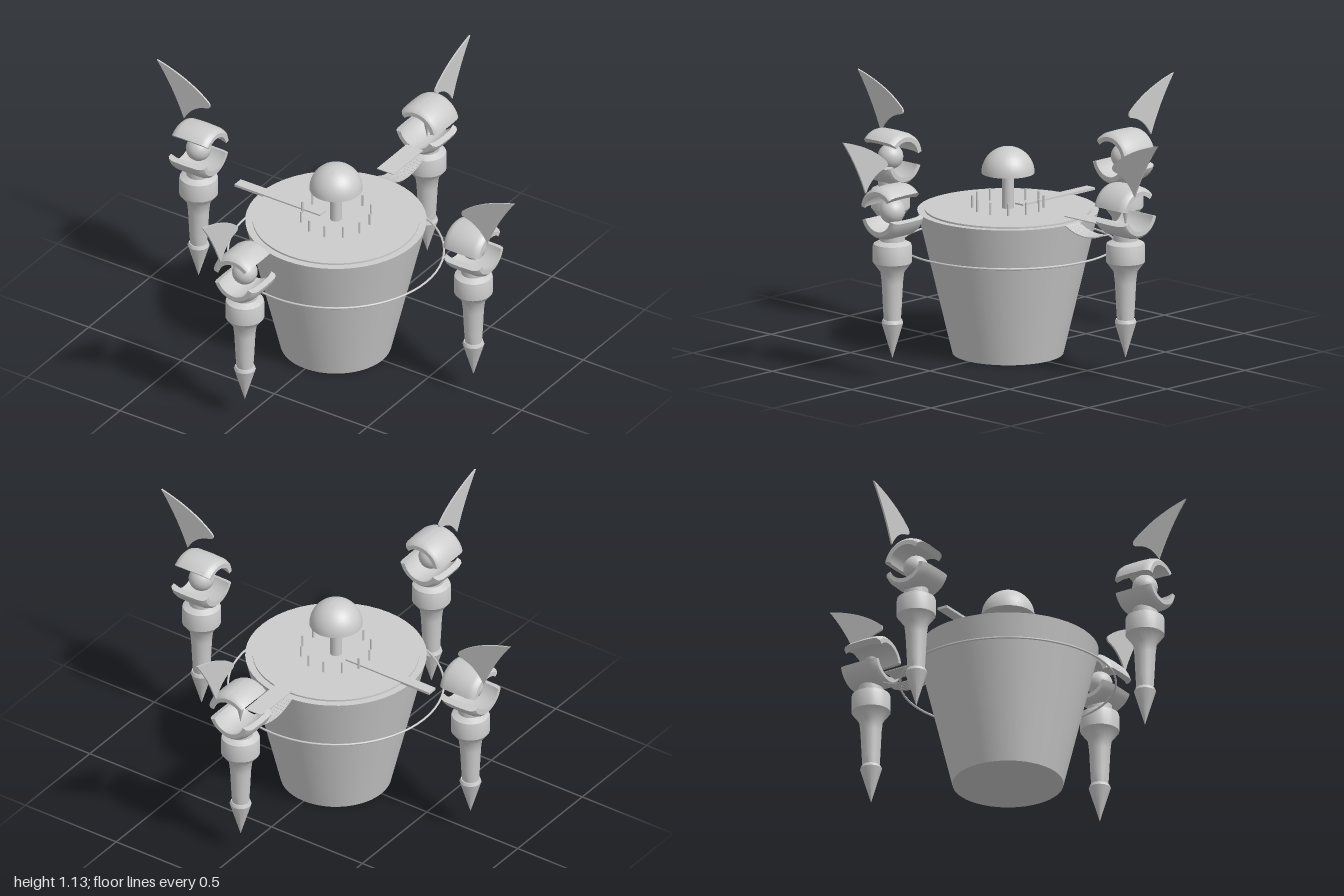
import * as THREE from 'three';
import { mergeGeometries, toCreasedNormals } from 'three/addons/utils/BufferGeometryUtils.js';

const grey = new THREE.MeshStandardMaterial({ color: 0xcccccc });
const greyDouble = new THREE.MeshStandardMaterial({ color: 0xcccccc, side: THREE.DoubleSide });
const vecs = (pts) => pts.map(([x, y]) => new THREE.Vector2(x, y));

function add(parent, name, geometry, x = 0, y = 0, z = 0, material = grey) {
  const mesh = new THREE.Mesh(geometry, material);
  mesh.name = name;
  mesh.position.set(x, y, z);
  parent.add(mesh);
  return mesh;
}

const turned = (pts, sides) => toCreasedNormals(new THREE.LatheGeometry(vecs(pts), sides), 0.6);

// Curved barrel band covering the angles from..to (degrees) about the z axis, with closed ends
function shellBand(from, to) {
  const a = THREE.MathUtils.degToRad(from), b = THREE.MathUtils.degToRad(to);
  const profile = vecs([
    [0.102, -0.096], [0.114, -0.085], [0.12, -0.065], [0.122, 0], [0.12, 0.065], [0.114, 0.085], [0.102, 0.096],
    [0.082, 0.096], [0.092, 0.06], [0.095, 0], [0.092, -0.06], [0.082, -0.096],
  ]);
  const band = toCreasedNormals(
    new THREE.LatheGeometry([...profile, profile[0]], 20, a + Math.PI / 2, b - a), 0.6);
  const caps = [a, b].map((angle) =>
    new THREE.ShapeGeometry(new THREE.Shape(profile)).toNonIndexed().rotateY(angle));
  return mergeGeometries([band, ...caps]).rotateX(Math.PI / 2);
}

// Thin horn-shaped fin, reaching outwards along z
function finGeometry() {
  const s = new THREE.Shape();
  s.moveTo(1.0, 1.13);
  s.quadraticCurveTo(0.82, 1.085, 0.72, 0.995);
  s.quadraticCurveTo(0.705, 0.97, 0.735, 0.965);
  s.quadraticCurveTo(0.81, 0.95, 0.855, 0.87);
  s.quadraticCurveTo(0.91, 1.01, 1.0, 1.13);
  return new THREE.ExtrudeGeometry(s, { depth: 0.008, bevelEnabled: false, curveSegments: 10 })
    .rotateY(-Math.PI / 2);
}

// Floating tower in front position: spike, collar, split shell, core and fin
function createTower(hasOrb) {
  const tower = new THREE.Group();
  const z = 0.74;
  add(tower, 'spike', turned([[0, 0.1], [0.05, 0.265], [0.044, 0.28], [0, 0.28]], 12), 0, 0, z);
  add(tower, 'towerColumn', turned([
    [0, 0.27], [0.038, 0.27], [0.042, 0.33], [0.048, 0.45], [0.054, 0.5], [0.084, 0.54],
    [0.088, 0.545], [0.088, 0.62], [0.085, 0.63], [0.056, 0.645], [0.056, 0.675], [0, 0.675],
  ], 24), 0, 0, z);
  add(tower, 'upperShell', shellBand(45, 168), 0, 0.78, z, greyDouble);
  add(tower, 'lowerShell', shellBand(203, 345), 0, 0.78, z, greyDouble);
  if (hasOrb) {
    add(tower, 'orb', new THREE.SphereGeometry(0.058, 24, 16), 0, 0.78, z);
  } else {
    add(tower, 'hangingSpike', new THREE.ConeGeometry(0.022, 0.11, 12).rotateX(Math.PI), 0, 0.76, z);
  }
  add(tower, 'fin', finGeometry(), -0.053, 0, 0, greyDouble);
  return tower;
}

export function createModel() {
  const model = new THREE.Group();

  // Tapered central body, lid and surrounding ring
  add(model, 'body', turned([[0, 0], [0.25, 0], [0.408, 0.66], [0, 0.66]], 48));
  add(model, 'lid', new THREE.CylinderGeometry(0.375, 0.375, 0.008, 48), 0, 0.664, 0);
  add(model, 'ring', new THREE.TorusGeometry(0.485, 0.005, 8, 64).rotateX(Math.PI / 2), 0, 0.5, 0);

  // Domed centre piece with a circle of pins
  add(model, 'stem', new THREE.CylinderGeometry(0.027, 0.027, 0.18, 16), 0, 0.75, 0);
  add(model, 'dome', turned([[0, 0.83],
    ...Array.from({ length: 13 }, (_, i) => {
      const t = (i / 12) * Math.PI / 2;
      return [0.12 * Math.cos(t), 0.83 + 0.12 * Math.sin(t)];
    })], 32));
  for (let i = 0; i < 12; i++) {
    const a = (i + 0.5) * Math.PI / 6;
    add(model, 'pin', new THREE.CylinderGeometry(0.005, 0.005, 0.06, 8),
      0.16 * Math.cos(a), 0.695, 0.16 * Math.sin(a));
  }

  // Plank jutting out over the right rim
  add(model, 'plank', new THREE.BoxGeometry(0.46, 0.012, 0.05), -0.3, 0.669, 0);

  // Rear bridge: flat deck above a sagging row of slats
  add(model, 'bridgeDeck', new THREE.BoxGeometry(0.09, 0.004, 0.24), 0, 0.703, -0.52);
  const sag = new THREE.QuadraticBezierCurve3(
    new THREE.Vector3(0, 0.66, -0.405), new THREE.Vector3(0, 0.598, -0.52), new THREE.Vector3(0, 0.655, -0.645));
  const slats = 14;
  for (let i = 0; i < slats; i++) {
    const t = (i + 0.5) / slats, p = sag.getPointAt(t), d = sag.getTangentAt(t);
    const slat = add(model, 'bridgeSlat', new THREE.BoxGeometry(0.09, 0.004, 0.017), p.x, p.y, p.z);
    slat.rotation.x = Math.atan2(d.y, -d.z);
  }

  // Four floating towers around the body
  ['front', 'left', 'back', 'right'].forEach((side, i) => {
    const tower = createTower(side !== 'back');
    tower.name = side + 'Tower';
    tower.rotation.y = i * Math.PI / 2;
    model.add(tower);
  });
  return model;
}
